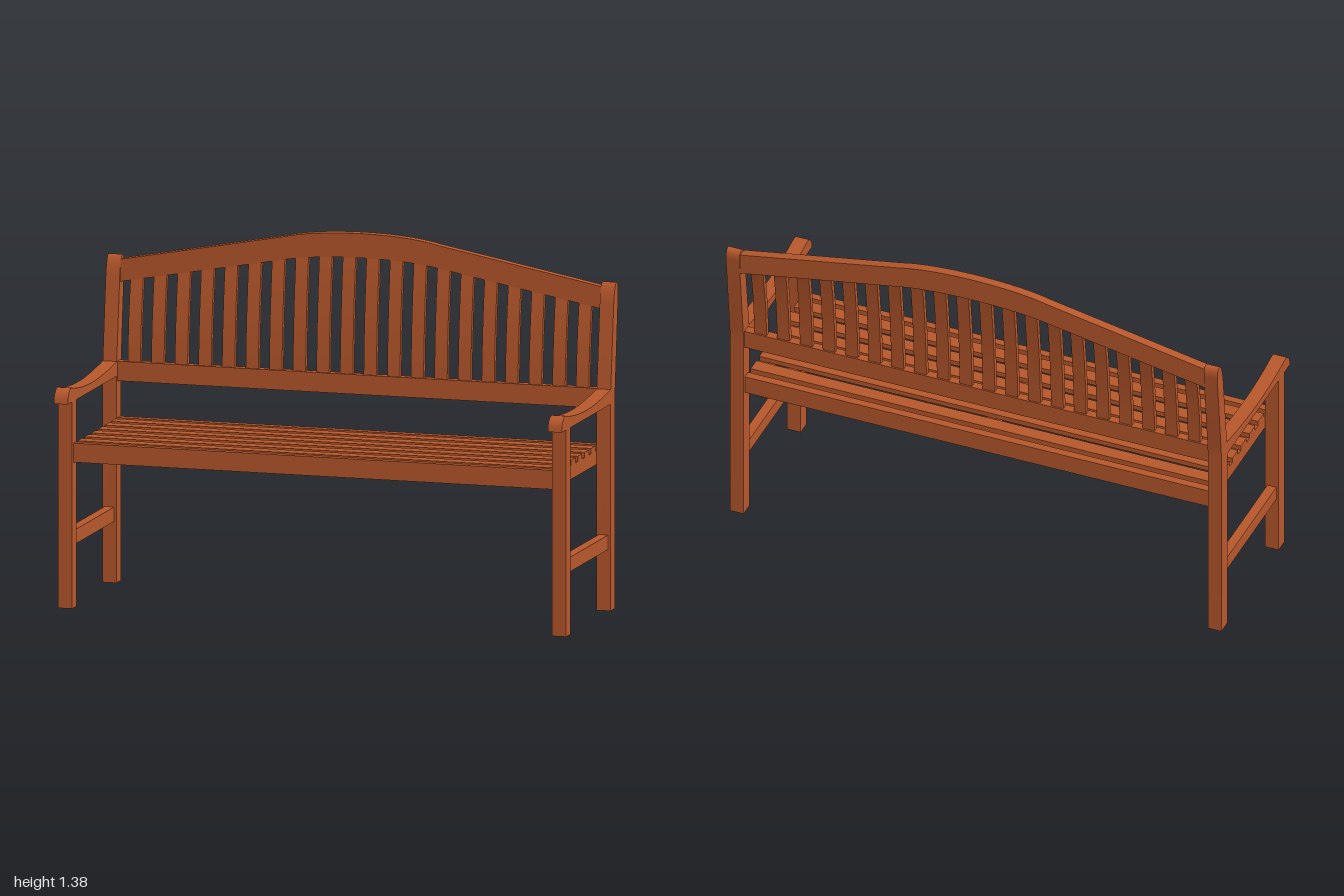
import * as THREE from 'three';
import { toCreasedNormals } from 'three/addons/utils/BufferGeometryUtils.js';

const wood = new THREE.MeshStandardMaterial({ color: 0xb8582c });

export function createModel() {
  const bench = new THREE.Group();
  bench.name = 'gardenBench';

  function add(name, geometry) {
    const mesh = new THREE.Mesh(geometry, wood);
    mesh.name = name;
    bench.add(mesh);
    return mesh;
  }

  // Box given by its limits on each axis
  function box(name, [x0, x1], [y0, y1], [z0, z1]) {
    const mesh = add(name, new THREE.BoxGeometry(x1 - x0, y1 - y0, z1 - z0));
    mesh.position.set((x0 + x1) / 2, (y0 + y1) / 2, (z0 + z1) / 2);
  }

  // Side profile drawn in (z, y), extruded along x and centred on x
  function sidePiece(name, shape, x, width) {
    const geo = new THREE.ExtrudeGeometry(shape, { depth: width, bevelEnabled: false, curveSegments: 10 });
    geo.rotateY(-Math.PI / 2);
    geo.translate(x + width / 2, 0, 0);
    add(name, toCreasedNormals(geo, 0.6));
  }

  const inner = 0.945, legW = 0.055, legX = 0.9725;

  // Back leg: straight below the arm, leaning back above, rounded top
  const backLeg = new THREE.Shape();
  backLeg.moveTo(-0.315, 0);
  backLeg.lineTo(-0.257, 0);
  backLeg.lineTo(-0.257, 0.8);
  backLeg.quadraticCurveTo(-0.258, 0.83, -0.262, 0.86);
  backLeg.lineTo(-0.298, 1.165);
  backLeg.bezierCurveTo(-0.305, 1.21, -0.318, 1.243, -0.333, 1.243);
  backLeg.bezierCurveTo(-0.352, 1.243, -0.357, 1.225, -0.354, 1.19);
  backLeg.lineTo(-0.32, 0.87);
  backLeg.quadraticCurveTo(-0.315, 0.83, -0.315, 0.8);
  backLeg.closePath();

  // Armrest: dished top with a rounded nose
  const arm = new THREE.Shape();
  arm.moveTo(-0.262, 0.79);
  arm.lineTo(0.357, 0.79);
  arm.bezierCurveTo(0.355, 0.825, 0.335, 0.845, 0.31, 0.845);
  arm.bezierCurveTo(0.28, 0.843, 0.24, 0.828, 0.13, 0.823);
  arm.bezierCurveTo(0, 0.815, -0.13, 0.828, -0.262, 0.846);
  arm.closePath();

  // End frames, mirrored
  for (const s of [-1, 1]) {
    const span = (a, b) => (s > 0 ? [a, b] : [-b, -a]);
    box('frontLeg', span(inner, 1), [0, 0.79], [0.245, 0.302]);
    sidePiece('backLeg', backLeg, s * legX, legW);
    sidePiece('armrest', arm, s * legX, legW);
    box('lowerStretcher', span(0.954, 0.991), [0.235, 0.29], [-0.257, 0.245]);
    box('seatSideRail', span(0.907, inner), [0.557, 0.61], [-0.27, 0.255]);
  }

  // Seat frame
  box('seatFrontRail', [-inner, inner], [0.557, 0.63], [0.255, 0.285]);
  box('seatBackRail', [-inner, inner], [0.557, 0.63], [-0.302, -0.27]);
  box('seatCentreSupport', [-0.018, 0.018], [0.557, 0.61], [-0.27, 0.255]);

  // Seat slats
  for (let i = 0; i < 6; i++) {
    const z = 0.205 - i * 0.0845;
    box('seatSlat', [-inner, inner], [0.61, 0.63], [z - 0.0275, z + 0.0275]);
  }

  // Backrest rails: straight lower rail and arched top rail
  box('backLowerRail', [-inner, inner], [0.77, 0.845], [-0.306, -0.272]);
  const arch = new THREE.Shape();
  arch.moveTo(-inner, 1.143);
  arch.lineTo(-0.3, 1.262);
  arch.bezierCurveTo(-0.15, 1.292, 0.15, 1.292, 0.3, 1.262).lineTo(inner, 1.143);
  arch.lineTo(inner, 1.228);
  arch.lineTo(0.3, 1.35);
  arch.bezierCurveTo(0.15, 1.387, -0.15, 1.387, -0.3, 1.35);
  arch.lineTo(-inner, 1.228);
  arch.closePath();
  const archGeo = new THREE.ExtrudeGeometry(arch, { depth: 0.036, bevelEnabled: false, curveSegments: 24 });
  archGeo.translate(0, 0, -0.347);
  add('backTopRail', toCreasedNormals(archGeo, 0.5));

  // Backrest slats: gently curved, each reaching into the arched rail
  const archBottom = (x) => (x > 0.3 ? 1.262 - (x - 0.3) * 0.1845 : 1.285 - 0.25 * x * x);
  for (let i = 0; i < 20; i++) {
    const x = (i - 9.5) * 0.0929;
    const top = archBottom(Math.abs(x)) + 0.02;
    const mid = (0.83 + top) / 2;
    const slat = new THREE.Shape();
    slat.moveTo(-0.299, 0.83);
    slat.lineTo(-0.279, 0.83);
    slat.quadraticCurveTo(-0.284, mid, -0.318, top);
    slat.lineTo(-0.338, top);
    slat.quadraticCurveTo(-0.304, mid, -0.299, 0.83);
    sidePiece('backSlat', slat, x, 0.05);
  }

  return bench;
}
